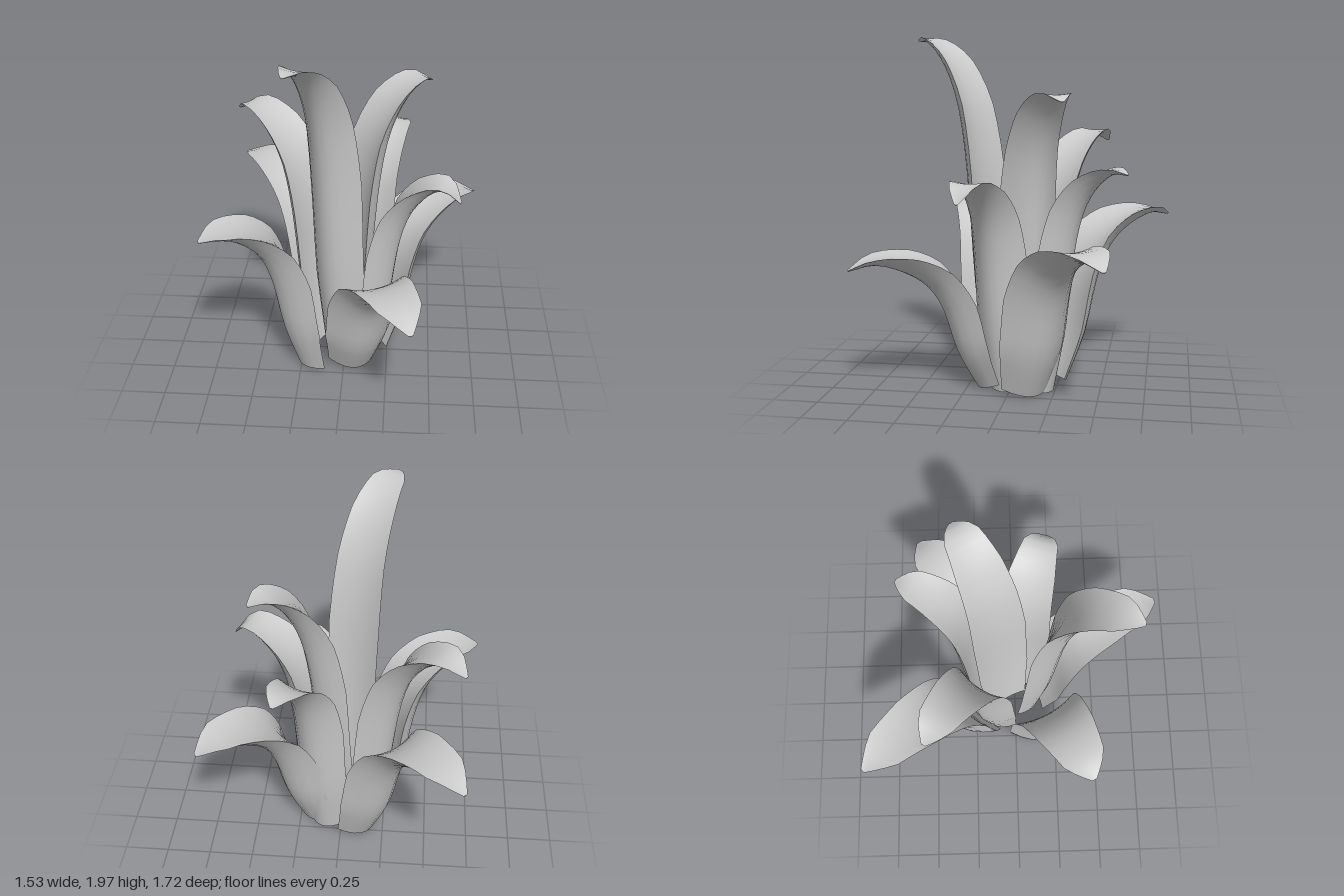
import * as THREE from 'three';
import { ParametricGeometry } from 'three/addons/geometries/ParametricGeometry.js';
import { mergeGeometries } from 'three/addons/utils/BufferGeometryUtils.js';

// Each leaf: foot of its axis [x, z], tip [x, height, z], distance of the
// midrib's base from the foot, height of the bend and greatest width.
const LEAVES = [
  { name: 'outerLeafFront', foot: [0, -0.01], tip: [0.38, 0.72, 0.85], base: 0.22, bend: 0.75, width: 0.41 },
  { name: 'outerLeafBackLeft', foot: [0, 0.02], tip: [0.75, 0.83, -0.56], base: 0.28, bend: 0.86, width: 0.42 },
  { name: 'outerLeafBackRight', foot: [0, -0.08], tip: [-0.67, 0.93, -0.85], base: 0.24, bend: 0.95, width: 0.4 },
  { name: 'outerLeafRight', foot: [0, 0.03], tip: [-0.76, 0.96, 0.41], base: 0.29, bend: 0.97, width: 0.41 },
  { name: 'middleLeafLeft', foot: [0, -0.01], tip: [0.63, 1.13, 0.19], base: 0.18, bend: 1.2, width: 0.33 },
  { name: 'middleLeafBack', foot: [0.04, -0.05], tip: [0.31, 1.26, -0.65], base: 0.2, bend: 1.26, width: 0.32 },
  { name: 'middleLeafBackRight', foot: [0, -0.03], tip: [-0.65, 1.38, -0.48], base: 0.21, bend: 1.42, width: 0.34 },
  { name: 'innerLeafBackLeft', foot: [-0.04, -0.03], tip: [0.46, 1.64, -0.32], base: 0.11, bend: 1.65, width: 0.34 },
  { name: 'innerLeafTallest', foot: [0.03, 0], tip: [-0.26, 1.97, 0.6], base: 0.15, bend: 1.95, width: 0.32 },
];

// Shared leaf shape from base to tip: outward reach and rise of the midrib,
// then width and hollow depth as shares of the leaf's width.
const REACH = [0, 0.16, 0.27, 0.39, 0.57, 0.8, 1];
const RISE = [0, 0.29, 0.62, 0.81, 0.93, 1];
const WIDTHS = [0.76, 0.98, 1, 0.91, 0.8, 0.6, 0.07];
const DEPTHS = [0.24, 0.34, 0.38, 0.36, 0.27, 0.12, 0.02];
const FILL = 0.75; // how far the inner skin closes the hollow
const GROUND = 0.02;

function sample(list, t) {
  const x = t * (list.length - 1);
  const i = Math.min(Math.floor(x), list.length - 2);
  return THREE.MathUtils.lerp(list[i], list[i + 1], x - i);
}

function leafGeometry({ foot, tip, base, bend, width }) {
  const out = new THREE.Vector3(tip[0] - foot[0], 0, tip[2] - foot[1]);
  const length = out.length();
  out.normalize();
  const side = new THREE.Vector3(-out.z, 0, out.x);
  const heights = [...RISE.map((k) => THREE.MathUtils.lerp(GROUND, bend, k)), tip[1]];
  const rib = new THREE.CatmullRomCurve3(
    REACH.map((k, i) => new THREE.Vector3(THREE.MathUtils.lerp(base, length, k), heights[i], 0)),
    false, 'catmullrom', 0.5);

  // Point on the crescent section: layer 0 is the outer skin, 1 the inner skin.
  const point = (t, v, layer, target) => {
    const u = THREE.MathUtils.clamp(t, 0, 1);
    const s = v * 2 - 1;
    const p = rib.getPoint(u);
    const tangent = rib.getTangent(u);
    const lift = sample(DEPTHS, u) * width * (s * s + layer * FILL * (1 - s * s));
    target.set(foot[0], p.y + tangent.x * lift, foot[1])
      .addScaledVector(out, p.x - tangent.y * lift)
      .addScaledVector(side, s * sample(WIDTHS, u) * width / 2);
  };

  const skins = [
    new ParametricGeometry((t, v, o) => point(t, v, 0, o), 18, 8),
    new ParametricGeometry((t, v, o) => point(t, 1 - v, 1, o), 18, 8),
    new ParametricGeometry((k, v, o) => point(0, v, 1 - k, o), 1, 8), // base cap
    new ParametricGeometry((k, v, o) => point(1, v, k, o), 1, 8), // tip cap
  ];
  skins.forEach((skin) => skin.computeVertexNormals());
  return mergeGeometries(skins);
}

export function createModel() {
  const plant = new THREE.Group();
  plant.name = 'leafRosette';
  const material = new THREE.MeshStandardMaterial({ color: 0xcccccc });
  for (const leaf of LEAVES) {
    const mesh = new THREE.Mesh(leafGeometry(leaf), material);
    mesh.name = leaf.name;
    plant.add(mesh);
  }
  return plant;
}
